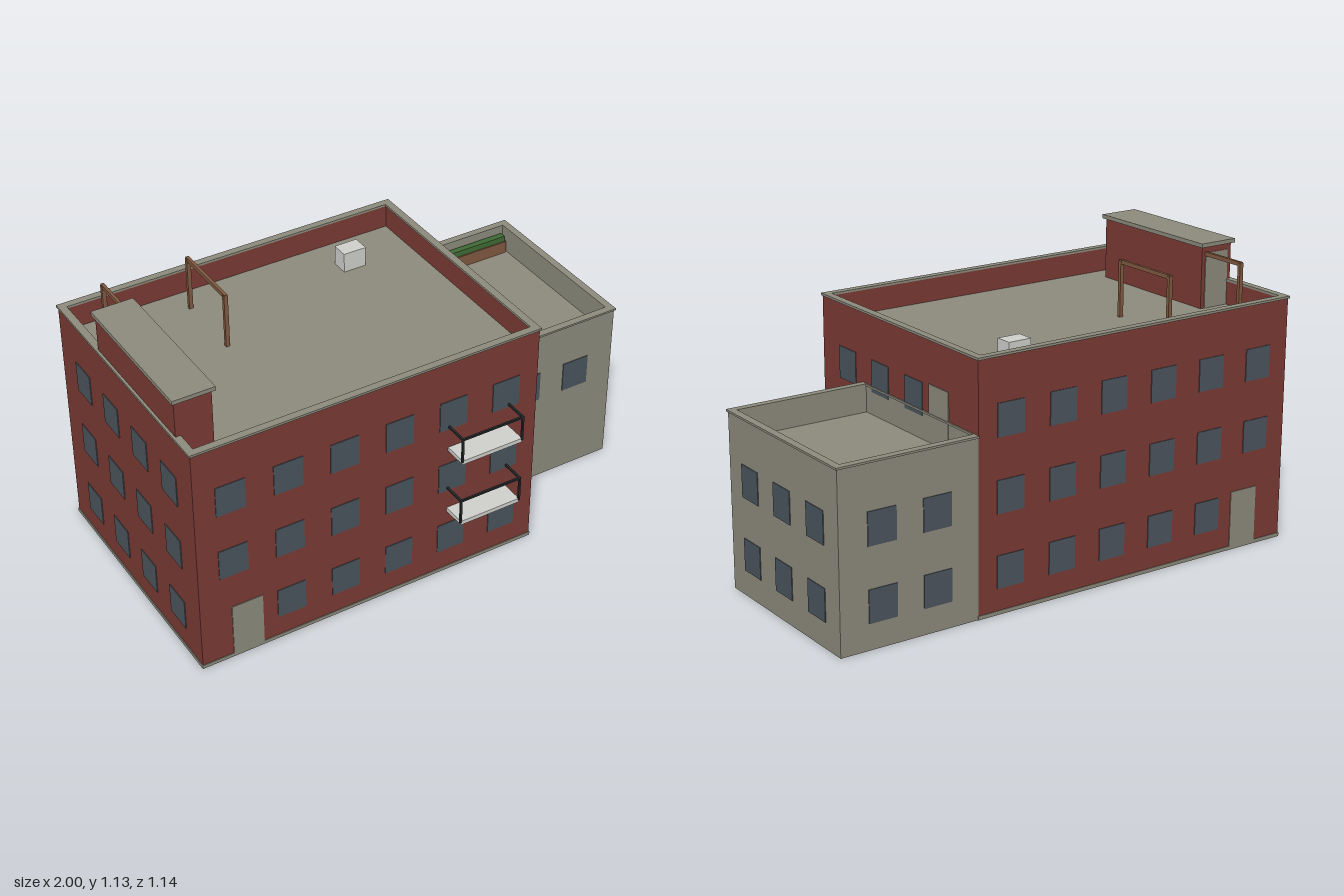
import * as THREE from 'three';

const mat = (name, color) => {
  const m = new THREE.MeshStandardMaterial({ color });
  m.name = name;
  return m;
};

export function createModel() {
  const model = new THREE.Group();
  model.name = 'building';
  const brick = mat('red brick', 0x7b3a34);
  const stone = mat('grey beige', 0x8d8b7d);
  const glass = mat('window blue grey', 0x4b555d);
  const white = mat('light grey', 0xd0d0cd);
  const wood = mat('brown wood', 0x825a40);
  const green = mat('plant green', 0x3f6b35);
  const iron = mat('dark metal', 0x24292a);

  const add = (name, geometry, material, parent = model) => {
    const mesh = new THREE.Mesh(geometry, material);
    mesh.name = name;
    parent.add(mesh);
    return mesh;
  };
  // Box given by its extents along each axis
  const box = (name, material, [x0, x1], [y0, y1], [z0, z1], parent) => {
    const mesh = add(name, new THREE.BoxGeometry(x1 - x0, y1 - y0, z1 - z0), material, parent);
    mesh.position.set((x0 + x1) / 2, (y0 + y1) / 2, (z0 + z1) / 2);
    return mesh;
  };
  // Rectangular ring of wall thickness t, standing between y0 and y1
  const ring = (name, material, [x0, x1], [z0, z1], t, y0, y1, tLeft = t) => {
    const rect = (Type, a, b, c, d) => new Type([[a, c], [b, c], [b, d], [a, d]].map(p => new THREE.Vector2(...p)));
    const shape = rect(THREE.Shape, x0, x1, -z1, -z0);
    shape.holes.push(rect(THREE.Path, x0 + tLeft, x1 - t, -z1 + t, -z0 - t));
    const geometry = new THREE.ExtrudeGeometry(shape, { depth: y1 - y0, bevelEnabled: false });
    geometry.rotateX(-Math.PI / 2);
    add(name, geometry, material).position.y = y0;
  };
  // Thin plate on a wall: axis 'x' or 'z', wall position, outward sign
  const plate = (name, material, axis, wall, sign, centre, width, y0, y1) => {
    const across = [centre - width / 2, centre + width / 2];
    const depth = [wall - 0.003, wall + 0.003];
    depth[sign > 0 ? 0 : 1] = wall - sign * 0.002;
    if (axis === 'z') box(name, material, across, [y0, y1], depth);
    else box(name, material, depth, [y0, y1], across);
  };
  const floors = [0.1, 0.384, 0.668];
  const windowAt = (axis, wall, sign, centre, floor) =>
    plate('window', glass, axis, wall, sign, centre, 0.116, floors[floor], floors[floor] + 0.126);

  // Main block
  const mx = [-0.995, 0.425], mz = [-0.567, 0.472];
  box('mainWalls', brick, mx, [0.012, 0.865], mz);
  box('mainBase', stone, [-0.998, 0.428], [0, 0.015], [-0.57, 0.475]);
  box('mainRoofDeck', stone, [-0.98, 0.41], [0.86, 0.87], [-0.55, 0.455]);
  ring('mainParapet', brick, mx, mz, 0.022, 0.865, 0.963);
  ring('mainCoping', stone, [-1, 0.43], [-0.573, 0.477], 0.03, 0.963, 0.972);

  // Side wing
  const wx = [0.425, 0.994], wz = [-0.567, 0.187];
  box('wingWalls', stone, wx, [0, 0.58], wz);
  ring('wingParapet', stone, wx, wz, 0.022, 0.58, 0.683, 0.002);
  ring('wingCoping', stone, [0.425, 1], [-0.573, 0.192], 0.03, 0.683, 0.691, 0.006);

  // Front and back windows and doors
  for (const [wall, sign] of [[mz[1], 1], [mz[0], -1]]) {
    for (let floor = 0; floor < 3; floor++)
      for (let i = 0; i < 6; i++)
        if (floor > 0 || i > 0) windowAt('z', wall, sign, -0.853 + i * 0.228, floor);
    plate('door', stone, 'z', wall, sign, -0.806, 0.125, 0.015, 0.236);
  }
  for (const x of [0.596, 0.821]) {
    windowAt('z', wz[1], 1, x, 1);
    for (const floor of [0, 1]) windowAt('z', wz[0], -1, x, floor);
  }

  // Side windows and roof terrace door
  for (let floor = 0; floor < 3; floor++) {
    for (let i = 0; i < 4; i++) windowAt('x', mx[0], -1, 0.295 - i * 0.227, floor);
    windowAt('x', mx[1], 1, 0.295, floor);
    if (floor < 2) for (let i = 0; i < 3; i++) windowAt('x', wx[1], 1, 0.039 - i * 0.227, floor);
  }
  for (const z of [0.068, -0.159]) windowAt('x', mx[1], 1, z, 2);
  plate('terraceDoor', stone, 'x', mx[1], 1, -0.322, 0.125, 0.58, 0.8);

  // Balconies with thin railings
  for (const y of [0.284, 0.567]) {
    const balcony = new THREE.Group();
    balcony.name = 'balcony';
    model.add(balcony);
    box('balconySlab', white, [0.04, 0.3], [y, y + 0.017], [0.47, 0.568], balcony);
    const top = [y + 0.109, y + 0.117];
    for (const x of [0.036, 0.296]) {
      box('railPost', iron, [x, x + 0.008], [y + 0.01, top[1]], [0.562, 0.57], balcony);
      box('sideRail', iron, [x, x + 0.008], top, [0.47, 0.57], balcony);
    }
    box('frontRail', iron, [0.036, 0.304], top, [0.562, 0.57], balcony);
  }

  // Rooftop stair house
  box('stairHouse', brick, [-0.99, -0.846], [0.865, 1.115], [-0.238, 0.36]);
  box('stairHouseRoof', stone, [-1, -0.835], [1.115, 1.131], [-0.25, 0.371]);
  plate('stairHouseDoor', stone, 'z', -0.238, -1, -0.918, 0.11, 0.87, 1.09);

  // Rooftop timber frames
  for (const x of [-0.866, -0.522]) {
    for (const z of [-0.149, -0.437])
      box('framePost', wood, [x - 0.008, x + 0.008], [0.868, 1.09], [z - 0.007, z + 0.007]);
    box('frameBeam', wood, [x - 0.006, x + 0.006], [1.079, 1.095], [-0.443, -0.142]);
  }

  // Roof vent unit and terrace planter
  box('ventUnit', white, [0.092, 0.188], [0.868, 0.95], [-0.415, -0.345]);
  box('planterBox', wood, [0.588, 0.966], [0.578, 0.632], [-0.544, -0.508]);
  box('planterHedge', green, [0.594, 0.96], [0.62, 0.657], [-0.539, -0.513]);

  return model;
}
